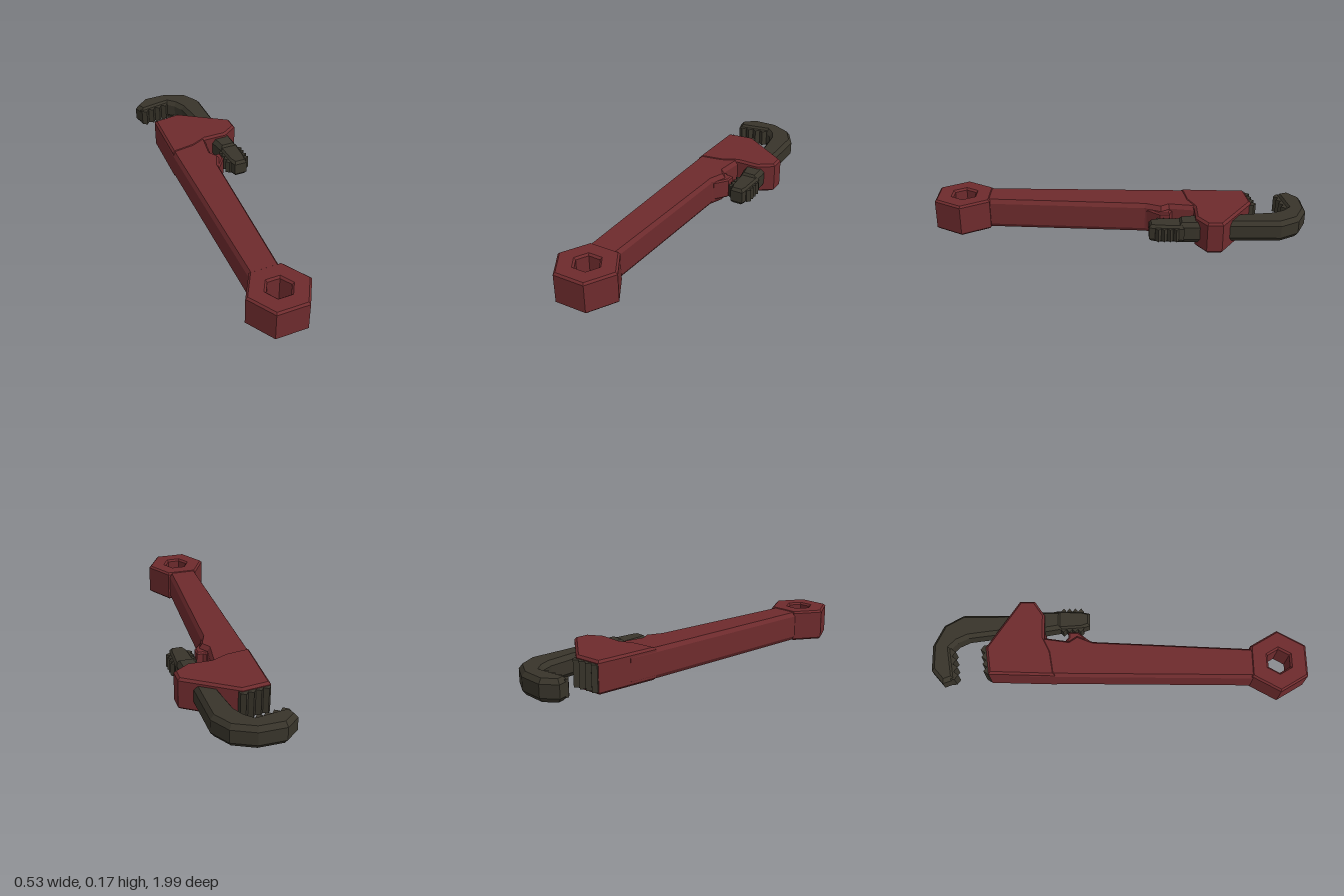
import * as THREE from 'three';

const RED = new THREE.MeshStandardMaterial({ color: 0x6e2b2d, flatShading: true });
const DARK = new THREE.MeshStandardMaterial({ color: 0x38342a, flatShading: true });

// Plate with chamfered rims: outline in (x, z), standing from y0 to y1
function plate(name, material, outline, y0, y1, bevel = 0, rise = bevel, hole = null) {
  const toPoints = (list) => list.map(([x, z]) => new THREE.Vector2(x, z));
  const shape = new THREE.Shape(toPoints(outline));
  if (hole) shape.holes.push(new THREE.Path(toPoints(hole)));
  const geometry = new THREE.ExtrudeGeometry(shape, {
    depth: y1 - y0 - 2 * rise,
    bevelEnabled: bevel > 0,
    bevelSize: bevel,
    bevelThickness: rise,
    bevelOffset: -bevel,
    bevelSegments: 1,
  });
  geometry.rotateX(Math.PI / 2);
  geometry.translate(0, y1 - rise, 0);
  const mesh = new THREE.Mesh(geometry, material);
  mesh.name = name;
  return mesh;
}

// Row of teeth from a to b; the tips point to the (dz, -dx) side, with a backing strip behind
function rack(name, a, b, count, height, backing, y0, y1) {
  const dx = b[0] - a[0], dz = b[1] - a[1], length = Math.hypot(dx, dz);
  const at = (t, h) => [a[0] + dx * t + (dz / length) * h, a[1] + dz * t - (dx / length) * h];
  const outline = [at(0, -backing), at(0, 0)];
  for (let i = 0; i < count; i++) {
    outline.push(at((i + 0.5) / count, height), at((i + 1) / count, 0));
  }
  outline.push(at(1, -backing));
  return plate(name, DARK, outline, y0, y1);
}

function hexagon(x, z, radius) {
  return Array.from({ length: 6 }, (_, i) => [
    x + radius * Math.cos((i * Math.PI) / 3),
    z + radius * Math.sin((i * Math.PI) / 3),
  ]);
}

export function createModel() {
  const wrench = new THREE.Group();
  wrench.name = 'pipeWrench';

  // Red body: hanging ring, handle, head and the spur below the head
  const body = new THREE.Group();
  body.name = 'body';
  body.add(
    plate('hexRing', RED, hexagon(-0.095, 0.845, 0.17), 0, 0.172, 0.01, 0.01,
      hexagon(-0.095, 0.845, 0.066)),
    plate('handle', RED, [
      [-0.158, -0.5], [0.05, -0.5], [0.055, -0.4], [0.035, -0.27], [0.065, -0.225],
      [0.03, -0.14], [0.01, 0.2], [-0.02, 0.7], [-0.03, 0.75], [-0.175, 0.75],
      [-0.185, 0.7], [-0.165, -0.32],
    ], 0.004, 0.168, 0.014, 0.022),
    plate('head', RED, [
      [-0.15, -0.69], [0, -0.71], [0.262, -0.535], [0.262, -0.455], [0.18, -0.4],
      [0.055, -0.4], [-0.03, -0.36], [-0.163, -0.34],
    ], 0, 0.172, 0.012),
    plate('spur', RED, [
      [0.02, -0.26], [0.045, -0.285], [0.06, -0.272], [0.09, -0.272], [0.09, -0.22], [0.035, -0.15], [0, -0.15],
    ], 0.03, 0.143, 0.008),
  );

  // Fixed jaw: toothed pad on the end of the head
  const pad = rack('fixedJawTeeth', [-0.148, -0.695], [0.012, -0.722], 4, 0.02, 0.05, 0.016, 0.156);

  // Sliding hook jaw: curved hook, shank, threaded tail and teeth
  const hook = new THREE.Group();
  hook.name = 'hookJaw';
  hook.add(
    plate('hook', DARK, [
      [-0.188, -0.935], [-0.115, -0.998], [0.025, -1], [0.14, -0.945], [0.197, -0.845],
      [0.197, -0.58], [0.215, -0.4], [0.215, -0.31], [0.115, -0.31], [0.1, -0.4],
      [0.085, -0.66], [0.066, -0.81], [0.04, -0.865], [0.005, -0.9], [-0.165, -0.872],
    ], 0.032, 0.148, 0.018, 0.024),
    plate('tail', DARK, [
      [0.112, -0.34], [0.222, -0.34], [0.215, -0.2], [0.205, -0.158], [0.135, -0.158], [0.12, -0.2],
    ], 0.04, 0.135, 0.012, 0.016),
    rack('hookTeeth', [0.005, -0.9], [-0.168, -0.873], 4, 0.022, 0.02, 0.045, 0.135),
    rack('tailTeethLeft', [0.217, -0.315], [0.217, -0.19], 4, 0.02, 0.02, 0.052, 0.122),
    rack('tailTeethRight', [0.115, -0.19], [0.115, -0.315], 4, 0.017, 0.02, 0.052, 0.122),
  );

  wrench.add(body, pad, hook);
  return wrench;
}
